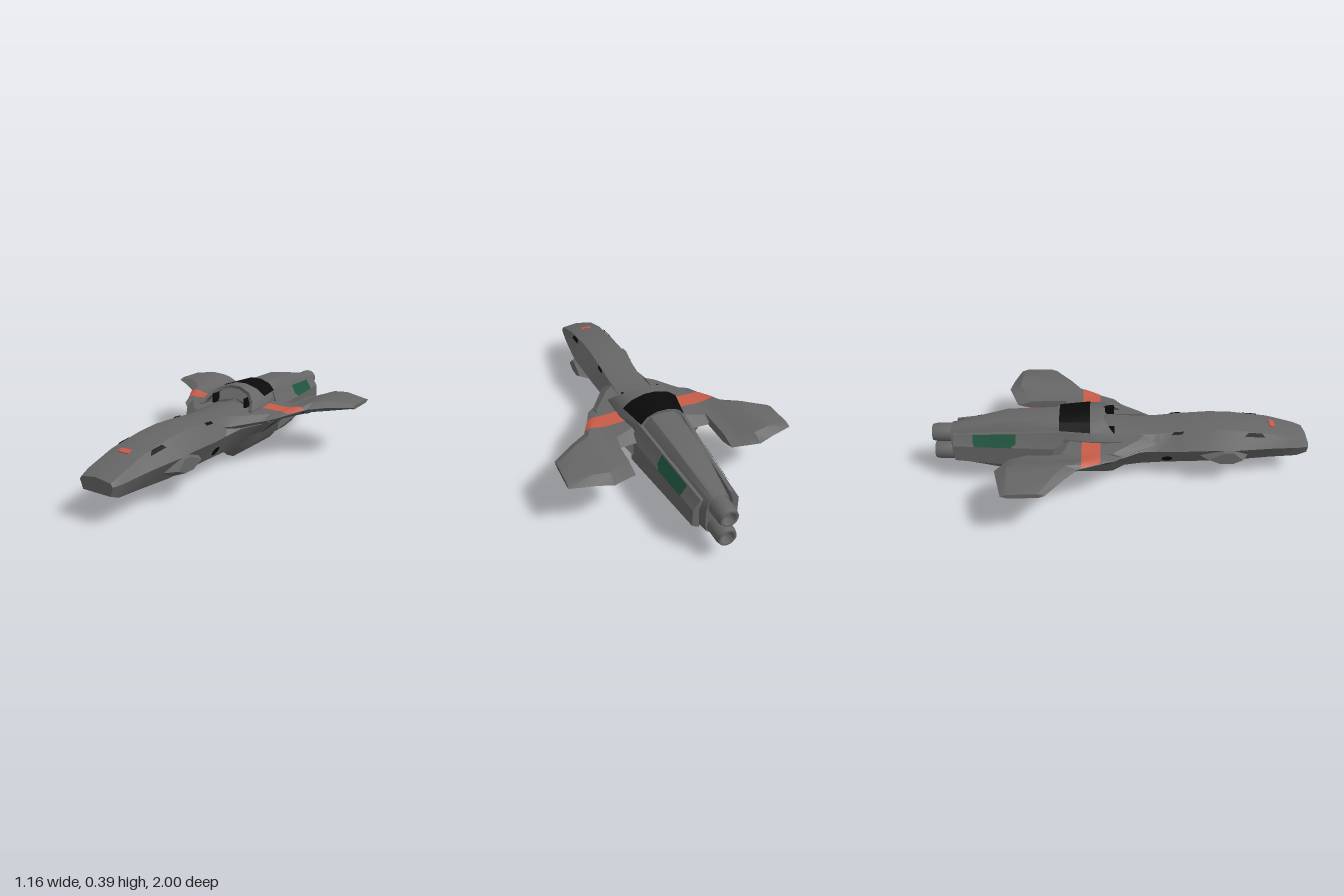
import * as THREE from 'three';
import { toCreasedNormals } from 'three/addons/utils/BufferGeometryUtils.js';
import { ConvexGeometry } from 'three/addons/geometries/ConvexGeometry.js';

const paint = (name, color, side = THREE.FrontSide) => {
  const m = new THREE.MeshStandardMaterial({ color, side });
  m.name = name;
  return m;
};

// Triangle list from a flat array of [x, y, z] points
function soup(points) {
  const g = new THREE.BufferGeometry();
  g.setAttribute('position', new THREE.Float32BufferAttribute(points.flat(), 3));
  return g;
}

// Skin closed rings of points and cap both ends
function loft(rings) {
  const out = [], n = rings[0].length;
  for (let i = 0; i < rings.length - 1; i++) {
    for (let j = 0; j < n; j++) {
      const k = (j + 1) % n;
      const a = rings[i][j], b = rings[i][k], c = rings[i + 1][k], d = rings[i + 1][j];
      out.push(a, d, c, a, c, b);
    }
  }
  const cap = (ring, flip) => {
    const mid = [0, 1, 2].map(c => ring.reduce((s, p) => s + p[c], 0) / n);
    ring.forEach((p, j) => {
      const q = ring[(j + 1) % n];
      out.push(mid, flip ? q : p, flip ? p : q);
    });
  };
  cap(rings[0], false);
  cap(rings[rings.length - 1], true);
  return soup(out);
}

// Open sheet over a grid of points
function sheet(rows) {
  const out = [];
  for (let i = 0; i < rows.length - 1; i++) {
    for (let j = 0; j < rows[i].length - 1; j++) {
      const a = rows[i][j], b = rows[i][j + 1], c = rows[i + 1][j + 1], d = rows[i + 1][j];
      out.push(a, d, c, a, c, b);
    }
  }
  return soup(out);
}

// Symmetric ring from a right-hand half profile, bottom to top
const ring = (z, half) => [
  ...half.map(([x, y]) => [x, y, z]),
  ...half.filter(p => p[0] > 0).reverse().map(([x, y]) => [-x, y, z]),
];

function flipX(g) {
  const p = g.getAttribute('position'), out = [];
  for (let i = 0; i < p.count; i += 3)
    for (const k of [i, i + 2, i + 1]) out.push([-p.getX(k), p.getY(k), p.getZ(k)]);
  return soup(out);
}

// Wing stations: x, front z, rear z, bottom y, top y
const STATIONS = [
  [0.1, 0.2, -0.34, 0.21, 0.295], [0.14, 0.17, -0.345, 0.215, 0.293],
  [0.24, 0.02, -0.36, 0.235, 0.288], [0.254, 0.005, -0.345, 0.24, 0.287],
  [0.255, 0.004, -0.575, 0.24, 0.287], [0.29, -0.03, -0.59, 0.252, 0.29],
  [0.32, -0.1, -0.603, 0.256, 0.298], [0.38, -0.22, -0.63, 0.262, 0.317],
  [0.46, -0.28, -0.61, 0.27, 0.325], [0.58, -0.37, -0.577, 0.284, 0.306],
];
function station(x) {
  const i = Math.max(1, STATIONS.findIndex(s => s[0] >= x));
  const a = STATIONS[i - 1], b = STATIONS[i], t = (x - a[0]) / (b[0] - a[0]);
  return a.map((v, k) => v + (b[k] - v) * t);
}
// Thin painted sheet following the wing skin
function wingPaint(xs, zFront, zRear, dir) {
  return sheet(xs.map(x => {
    const [, zf, zr, lo, hi] = station(x), mid = (lo + hi) / 2;
    const from = Math.min(zFront(x), zf), to = Math.max(zRear(x), zr);
    return [0, 0.25, 0.5, 0.75, 1].map(u => {
      const z = from + (to - from) * u, t = (zf - z) / (zf - zr);
      const fat = Math.max(0, Math.min(1, t / 0.15, (1 - t) / 0.15));
      return [x, mid + dir * (fat * (hi - lo) / 2 + 0.004), z];
    });
  }));
}

export function createModel() {
  const model = new THREE.Group();
  const grey = paint('hull grey', 0x666666);
  const orange = paint('marking orange', 0xc85c48, THREE.DoubleSide);
  const green = paint('panel green', 0x20543f, THREE.DoubleSide);
  const black = paint('glass black', 0x0a0a0a, THREE.DoubleSide);

  const add = (name, geo, mat, crease = 0.5) => {
    const mesh = new THREE.Mesh(toCreasedNormals(geo, crease), mat);
    mesh.name = name;
    model.add(mesh);
    return mesh;
  };
  const pair = (name, geo, mat, crease) => {
    const g = geo.index ? geo.toNonIndexed() : geo;
    add('left' + name, g, mat, crease);
    add('right' + name, flipX(g), mat, crease);
  };

  // Forward fuselage: z, top half width, top y, side half width, side y, bottom half width, bottom y
  add('fuselage', loft([
    [1, 0.085, 0.215, 0.095, 0.2, 0.08, 0.155], [0.95, 0.09, 0.235, 0.105, 0.2, 0.08, 0.133],
    [0.8, 0.09, 0.28, 0.13, 0.215, 0.07, 0.117], [0.6, 0.09, 0.308, 0.152, 0.22, 0.07, 0.1],
    [0.48, 0.09, 0.314, 0.15, 0.22, 0.07, 0.097], [0.3, 0.09, 0.304, 0.14, 0.21, 0.07, 0.095],
    [0.2, 0.09, 0.294, 0.135, 0.21, 0.07, 0.093], [0.1, 0.09, 0.29, 0.165, 0.23, 0.075, 0.092],
    [0, 0.1, 0.29, 0.23, 0.24, 0.09, 0.09], [-0.15, 0.1, 0.3, 0.2, 0.25, 0.09, 0.09],
  ].map(([z, tw, ty, sw, sy, bw, by]) =>
    ring(z, [[bw, by], [sw, sy], [tw, ty], [0, ty + 0.012]]))), grey);

  // Cheek pods
  const hex = [[0.68, 0.16], [0.6, 0.12], [0.5, 0.12], [0.4, 0.17], [0.53, 0.235], [0.6, 0.235]];
  pair('CheekPod', new ConvexGeometry(hex.flatMap(([z, y]) => [
    new THREE.Vector3(0.1, y, z),
    new THREE.Vector3(0.168, 0.185 + (y - 0.185) * 0.6, 0.57 + (z - 0.57) * 0.65),
  ])), grey, 0.2);

  // Keel collar under the wing roots
  const keel = [[0.02, 0.005], [0.1, 0.06], [0.14, 0.11], [0.17, 0.165], [0.25, 0.235], [0.27, 0.265]];
  add('keelCollar', loft([
    ring(0.04, [[0.03, 0.09], [0.08, 0.1], [0.11, 0.14], [0.15, 0.19], [0.19, 0.23], [0.2, 0.26]]),
    ring(-0.05, keel), ring(-0.2, keel),
    ring(-0.32, [[0.02, 0.005], [0.1, 0.06], [0.14, 0.11], [0.16, 0.16], [0.21, 0.235], [0.24, 0.265]]),
  ]), grey, 0.3);
  const onKeel = (u, z) => [0.17 + 0.08 * u + 0.004, 0.165 + 0.07 * u - 0.004, z];
  pair('KeelPanel', sheet([[onKeel(0, -0.08), onKeel(0, -0.11)],
    [onKeel(1, -0.05), onKeel(1, -0.16)]]), green);
  pair('KeelMark', sheet([[onKeel(0.15, -0.135), onKeel(0.15, -0.16)],
    [onKeel(0.5, -0.145), onKeel(0.5, -0.165)]]), orange);

  // Wings and their markings
  pair('Wing', loft(STATIONS.map(([x, zf, zr, lo, hi]) => {
    const p = (t, y) => [x, y, zf + (zr - zf) * t], m = (lo + hi) / 2;
    return [p(0, m), p(0.15, hi), p(0.85, hi), p(1, m), p(0.85, lo), p(0.15, lo)];
  })), grey, 0.4);
  pair('WingBand', wingPaint([0.15, 0.2, 0.24, 0.254, 0.255, 0.29, 0.32, 0.345, 0.372],
    () => -0.11, () => -0.205, 1), orange);
  pair('WingUnderBand', wingPaint([0.256, 0.29, 0.32, 0.38, 0.46, 0.575],
    x => -0.43 + (x - 0.25) * 0.1, x => -0.55 + (x - 0.25) * 0.2, -1), orange);
  pair('WingUnderPanel', wingPaint([0.256, 0.29, 0.32, 0.37],
    () => -0.2, () => -0.32, -1), green);

  // Raised hood with a recessed, raked front opening
  const arch = [[0.165, 0.26], [0.165, 0.3], [0.145, 0.34], [0.1, 0.375], [0.03, 0.395]];
  const archRear = [[0.13, 0.26], [0.13, 0.3], [0.115, 0.335], [0.085, 0.37], [0.03, 0.39]];
  const rake = (s, dz) => ring(0, arch).map(([x, y]) =>
    [x * s, 0.26 + (y - 0.26) * s, -Math.max(0, (y - 0.3) * 1.05) - dz]);
  add('hood', loft([rake(0.88, 0.06), rake(0.88, 0), rake(1, 0),
    ring(-0.16, arch), ring(-0.32, archRear)]), grey, 0.45);
  const pane = (z, half) => ring(z, half.slice(2)).map(([x, y]) => [x * 1.02, y + 0.004, z]);
  add('canopyGlass', sheet([pane(-0.162, arch), pane(-0.322, archRear)]), black);
  pair('HoodVent', new THREE.BoxGeometry(0.012, 0.05, 0.05).translate(0.1, 0.325, -0.06), black);

  // Engine core and twin nozzles
  add('engineCore', loft([
    ring(-0.28, [[0.04, 0.035], [0.1, 0.08], [0.14, 0.15], [0.14, 0.25], [0.105, 0.33], [0.065, 0.372], [0, 0.38]]),
    ring(-0.6, [[0.035, 0.035], [0.085, 0.08], [0.11, 0.15], [0.11, 0.25], [0.085, 0.33], [0.06, 0.367], [0, 0.376]]),
    ring(-0.9, [[0.025, 0.1], [0.05, 0.12], [0.06, 0.16], [0.06, 0.25], [0.05, 0.29], [0.03, 0.308], [0, 0.312]]),
  ]), grey, 0.6);
  const nozzle = [[0.042, 0.8], [0.05, 0.9], [0.05, 0.975], [0.044, 1], [0.034, 1], [0.03, 0.96], [0, 0.96]]
    .map(([r, h]) => new THREE.Vector2(r, h));
  for (const [name, y] of [['upperNozzle', 0.264], ['lowerNozzle', 0.15]])
    add(name, new THREE.LatheGeometry(nozzle, 20).rotateX(-Math.PI / 2).translate(0, y, 0), grey);

  // Engine side plates with inset panels
  const plateW = z => 0.155 + 0.077 * (z + 0.36), plateTop = z => 0.335 + 0.06 * (z + 0.3);
  pair('EnginePlate', loft([-0.3, -0.88].map(z => {
    const w = plateW(z), t = plateTop(z), b = z < -0.5 ? 0.14 : 0.1;
    return [[w - 0.035, b, z], [w, b + 0.02, z], [w, 0.25, z], [w - 0.035, t, z],
      [w - 0.05, t, z], [w - 0.03, 0.25, z]];
  })), grey, 0.3);
  const onPlate = (u, z) => [plateW(z) - 0.035 * u + 0.004, 0.25 + (plateTop(z) - 0.25) * u + 0.002, z];
  pair('EnginePanel', sheet([[onPlate(0, -0.58), onPlate(0, -0.77)],
    [onPlate(0.3, -0.55), onPlate(0.3, -0.775)], [onPlate(0.95, -0.55), onPlate(0.95, -0.775)]]), green);

  // Nose marking, side ports and small slits
  const mark = add('noseMark', new THREE.BoxGeometry(0.06, 0.008, 0.028), orange);
  mark.position.set(0, 0.288, 0.81);
  mark.rotation.x = 0.29;
  const slit = (z, ty, f) => [0.094 + 0.052 * f, ty - 0.085 * f + 0.003, z];
  pair('NoseSlit', sheet([[slit(0.76, 0.285, 0.22), slit(0.65, 0.301, 0.28)],
    [slit(0.74, 0.289, 0.02), slit(0.67, 0.298, 0.06)]]), black);
  pair('NeckSlit', sheet([[slit(0.32, 0.305, 0.15), slit(0.265, 0.301, 0.15)],
    [slit(0.33, 0.306, 0), slit(0.275, 0.302, 0)]]), black);
  for (const s of [1, -1]) {
    const port = add(s > 0 ? 'leftPort' : 'rightPort', new THREE.CircleGeometry(0.029, 16), black);
    port.position.set(s * 0.102, 0.139, 0.245);
    port.lookAt(s * 0.962, -0.371, 0.245);
  }
  return model;
}
